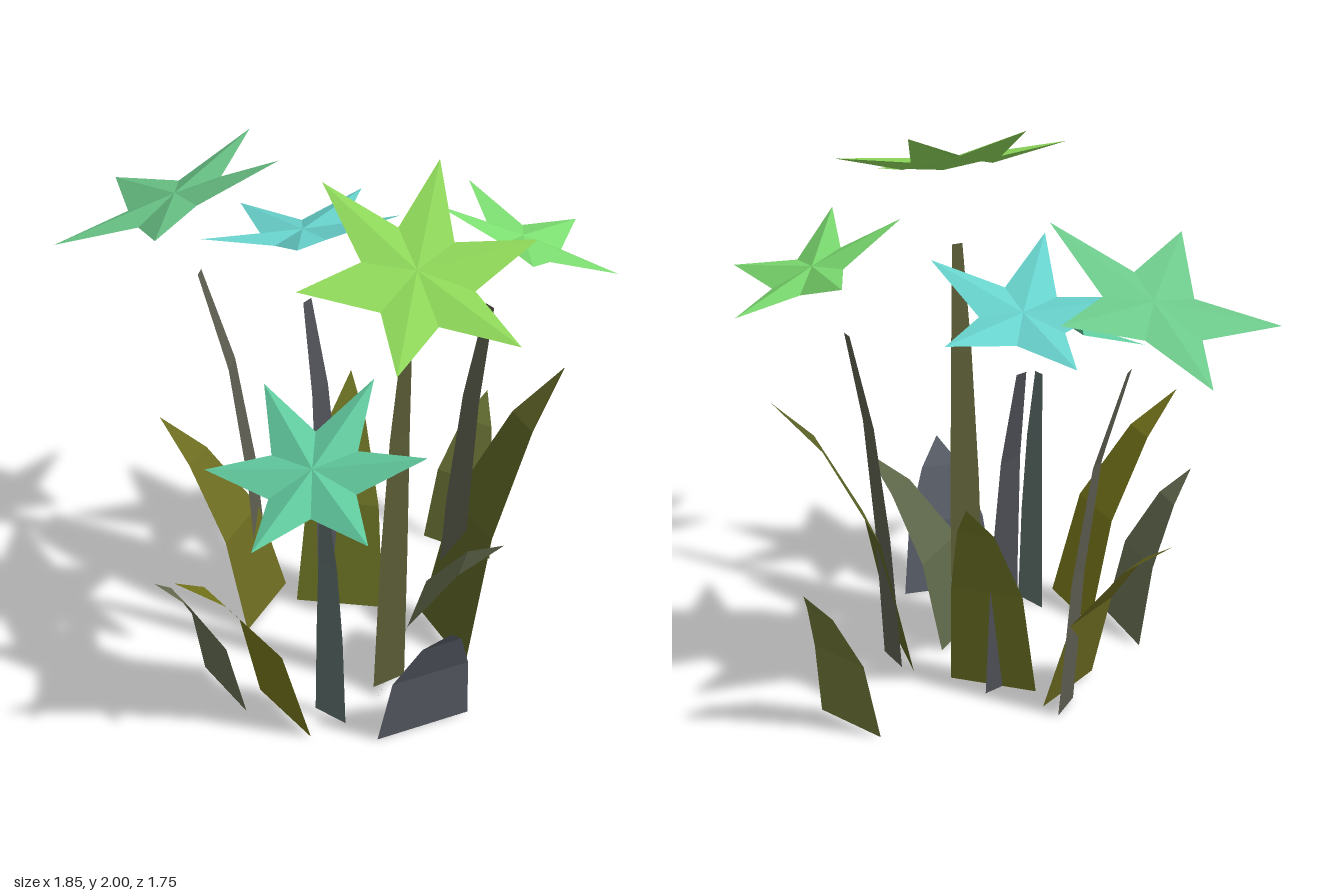
import * as THREE from 'three';

function mesh(name, points, index, color) {
  const geo = new THREE.BufferGeometry();
  geo.setAttribute('position', new THREE.Float32BufferAttribute(points.flat(), 3));
  geo.setIndex(index);
  geo.computeVertexNormals();
  const mat = new THREE.MeshStandardMaterial({ color, side: THREE.DoubleSide, flatShading: true });
  const m = new THREE.Mesh(geo, mat);
  m.name = name;
  return m;
}

// Ribbon rows: [share of outward lean, share of height, share of base width]
const LEAF = [[0, 0, 1], [0.23, 0.49, 0.82], [0.64, 0.83, 0.42], [1, 1, 0]];
const STEM = [[0, 0, 1], [0.2, 0.4, 0.85], [0.5, 0.73, 0.6], [1, 1, 0.3]];

// Flat blade rising from (cx, cz) and leaning out by (ox, oz)
function blade(name, rows, [cx, cz, ox, oz, height, width], color) {
  const len = Math.hypot(ox, oz);
  const dx = oz / len, dz = -ox / len;
  const points = [], index = [];
  rows.forEach(([o, y, w], i) => {
    for (const s of [-0.5, 0.5]) {
      points.push([cx + o * ox + s * w * width * dx, y * height, cz + o * oz + s * w * width * dz]);
    }
    if (i) {
      const k = 2 * i;
      index.push(k - 2, k - 1, k + 1, k - 2, k + 1, k);
    }
  });
  return mesh(name, points, index, color);
}

// Shallow folded star: raised petals around a centre, lowered notches between them
function star(name, center, tips, color) {
  const points = [center], index = [], n = tips.length;
  tips.forEach((tip, i) => {
    const next = tips[(i + 1) % n];
    const notch = center.map((c, k) => c + 0.52 * ((tip[k] + next[k]) / 2 - c));
    notch[1] -= 0.035;
    points.push(tip, notch);
  });
  for (let i = 0; i < 2 * n; i++) index.push(0, 1 + i, 1 + (i + 1) % (2 * n));
  return mesh(name, points, index, color);
}

export function createModel() {
  const group = new THREE.Group();
  group.name = 'flowerClump';

  // Broad leaves: base x, base z, lean x, lean z, height, width
  const leaves = [
    [[0.245, 0.445, -0.125, 0.425, 0.82, 0.3], 0x74741a],
    [[0.465, -0.215, 0.2, -0.395, 1.07, 0.33], 0x5a6024],
    [[0.213, -0.677, -0.025, -0.205, 0.61, 0.28], 0x6f7838],
    [[0, 0.473, -0.09, 0.255, 0.615, 0.275], 0x646c50],
    [[0.668, 0.207, 0.16, 0.09, 0.57, 0.35], 0x5a5f68],
    [[0.405, 0.03, 0.365, -0.13, 0.66, 0.32], 0x5c6448],
    [[0.05, -0.145, -0.14, -0.25, 0.86, 0.32], 0x6e7424],
    [[-0.155, 0.03, -0.425, 0.07, 0.725, 0.3], 0x6a6a20],
  ];
  leaves.forEach(([spec, color], i) => group.add(blade(`leaf${i + 1}`, LEAF, spec, color)));

  // Narrow stems, one under each flower
  const stems = [
    [[-0.235, -0.06, -0.205, 0.08, 1.36, 0.13], 0x5c5c50],
    [[0.02, -0.135, -0.12, -0.01, 1.29, 0.14], 0x505258],
    [[0.43, -0.29, 0.03, -0.14, 1.34, 0.13], 0x5a5c4c],
    [[0.44, 0.09, 0.05, 0.02, 1.51, 0.13], 0x5e6038],
    [[0.38, 0.36, 0, 0.045, 0.95, 0.13], 0x5c6c68],
  ];
  stems.forEach(([spec, color], i) => group.add(blade(`stem${i + 1}`, STEM, spec, color)));

  // Star flowers: centre, then petal tips in turn
  group.add(star('leftFlower', [-0.54, 1.64, 0.02], [
    [-0.18, 1.84, -0.095], [-0.55, 1.69, -0.41], [-0.925, 1.5, -0.115],
    [-0.78, 1.52, 0.375], [-0.32, 1.715, 0.385]], 0x6cc88a));
  group.add(star('middleFlower', [-0.15, 1.54, -0.185], [
    [0.175, 1.66, -0.295], [-0.155, 1.53, -0.535], [-0.49, 1.475, -0.275],
    [-0.355, 1.57, 0.11], [0.05, 1.68, 0.11]], 0x68d2cc));
  group.add(star('backFlower', [0.52, 1.6, -0.52], [
    [0.845, 1.53, -0.6], [0.53, 1.505, -0.845], [0.215, 1.645, -0.645],
    [0.33, 1.76, -0.285], [0.72, 1.685, -0.26]], 0x7cdc70));
  group.add(star('rightFlower', [0.54, 1.81, 0.14], [
    [0.925, 1.67, 0.125], [0.765, 1.835, -0.205], [0.39, 2, -0.195],
    [0.175, 2, 0.145], [0.335, 1.835, 0.495], [0.71, 1.67, 0.485]], 0x8cd458));
  group.add(star('frontFlower', [0.38, 1.16, 0.47], [
    [0.71, 1.25, 0.3], [0.385, 1.33, 0.14], [0.055, 1.26, 0.3],
    [0.055, 1.1, 0.62], [0.385, 1.03, 0.8], [0.71, 1.1, 0.62]], 0x62cca0));

  return group;
}
